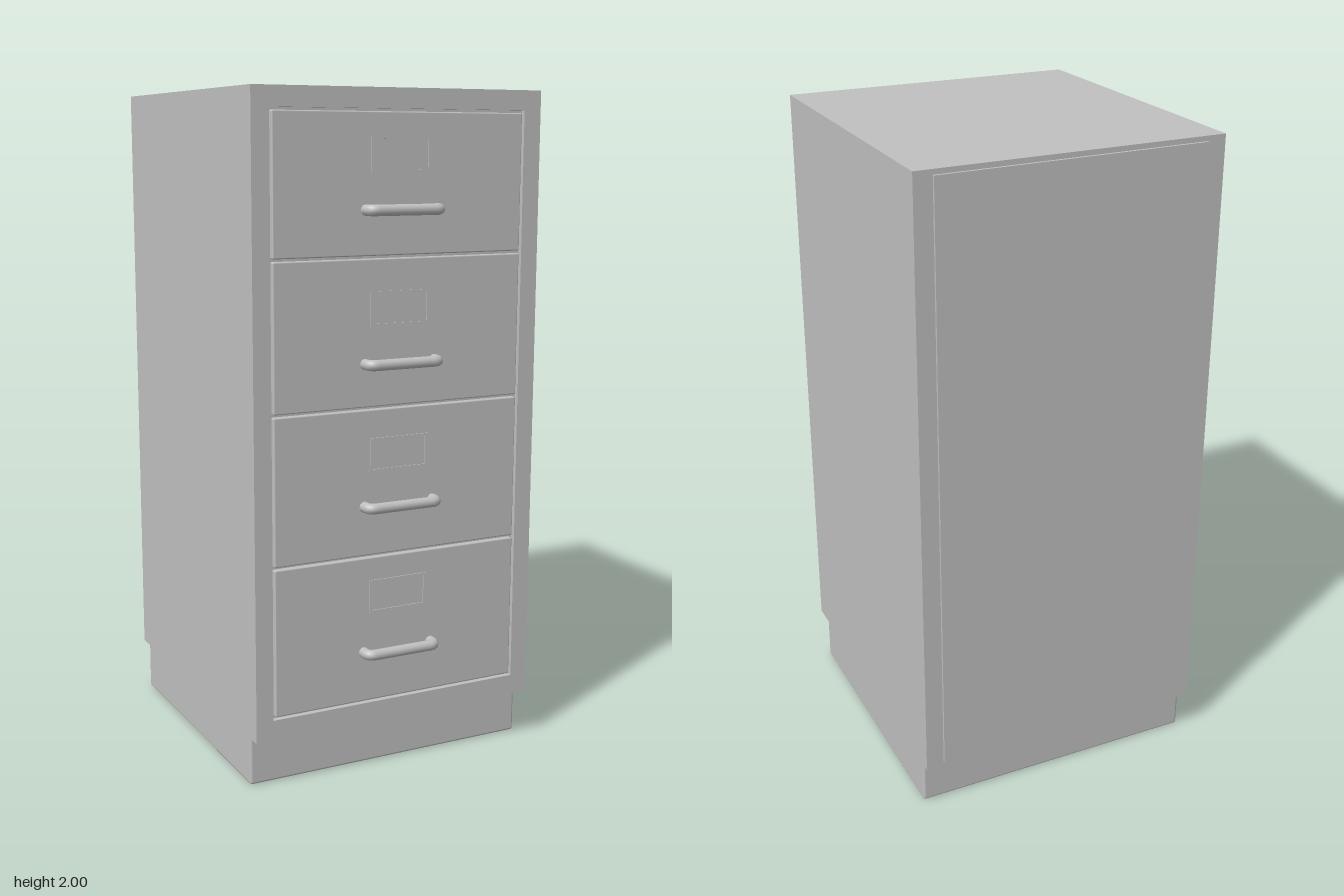
import * as THREE from 'three';
import { RoundedBoxGeometry } from 'three/addons/geometries/RoundedBoxGeometry.js';

const paint = new THREE.MeshStandardMaterial({ color: 0xc0c0c0 });
paint.name = 'grey paint';

function add(parent, name, geometry, x = 0, y = 0, z = 0) {
  const mesh = new THREE.Mesh(geometry, paint);
  mesh.name = name;
  mesh.position.set(x, y, z);
  parent.add(mesh);
  return mesh;
}

// Box given by its limits on each axis
function block(parent, name, [x0, x1], [y0, y1], [z0, z1], radius = 0) {
  const size = [x1 - x0, y1 - y0, z1 - z0];
  const geometry = radius
    ? new RoundedBoxGeometry(...size, 2, radius)
    : new THREE.BoxGeometry(...size);
  return add(parent, name, geometry, (x0 + x1) / 2, (y0 + y1) / 2, (z0 + z1) / 2);
}

function trace(path, x0, x1, y0, y1) {
  path.moveTo(x0, y0);
  path.lineTo(x1, y0);
  path.lineTo(x1, y1);
  path.lineTo(x0, y1);
  path.closePath();
  return path;
}

// Rectangular plate with a rectangular opening
function frame(outer, inner, depth) {
  const shape = trace(new THREE.Shape(), ...outer);
  shape.holes.push(trace(new THREE.Path(), ...inner));
  return new THREE.ExtrudeGeometry(shape, { depth, bevelEnabled: false });
}

// Bent bar pull, with its two ends set into the drawer front
function handleGeometry() {
  const path = new THREE.CurvePath();
  const v = (x, z) => new THREE.Vector3(x, 0, z);
  const w = 0.113, reach = 0.035, r = 0.022;
  path.add(new THREE.LineCurve3(v(-w, -0.01), v(-w, reach - r)));
  path.add(new THREE.QuadraticBezierCurve3(v(-w, reach - r), v(-w, reach), v(-w + r, reach)));
  path.add(new THREE.LineCurve3(v(-w + r, reach), v(w - r, reach)));
  path.add(new THREE.QuadraticBezierCurve3(v(w - r, reach), v(w, reach), v(w, reach - r)));
  path.add(new THREE.LineCurve3(v(w, reach - r), v(w, -0.01)));
  const geometry = new THREE.TubeGeometry(path, 64, 0.016, 12, false);
  return geometry;
}

export function createModel() {
  const cabinet = new THREE.Group();
  cabinet.name = 'filing cabinet';
  const front = 0.467;

  // Plinth and carcass
  block(cabinet, 'plinth', [-0.46, 0.455], [0, 0.17], [-0.47, 0.412], 0.008);
  block(cabinet, 'carcass', [-0.463, 0.46], [0.15, 2], [-0.513, 0.45]);

  // Surround around the drawer openings
  add(cabinet, 'frontFrame',
    frame([-0.463, 0.46, 0.15, 2], [-0.409, 0.404, 0.212, 1.943], front - 0.45), 0, 0, 0.45);

  // Back sheet
  block(cabinet, 'backPanel', [-0.405, 0.405], [0.165, 1.985], [-0.521, -0.51]);

  // Drawers: bottom, top, handle height, label bottom
  const drawers = [
    [0.22, 0.659, 0.372, 0.49],
    [0.667, 1.098, 0.814, 0.915],
    [1.106, 1.529, 1.231, 1.337],
    [1.537, 1.935, 1.665, 1.768],
  ];
  const handle = handleGeometry();
  const label = frame([-0.1, 0.09, 0, 0.1], [-0.092, 0.082, 0.008, 0.092], 0.005);
  drawers.forEach(([bottom, top, handleY, labelY], i) => {
    const drawer = new THREE.Group();
    drawer.name = `drawer${i + 1}`;
    block(drawer, 'drawerFront', [-0.402, 0.397], [bottom, top], [0.44, front], 0.004);
    add(drawer, 'handle', handle, -0.004, handleY, front);
    add(drawer, 'labelHolder', label, 0, labelY, front - 0.002);
    cabinet.add(drawer);
  });

  return cabinet;
}
